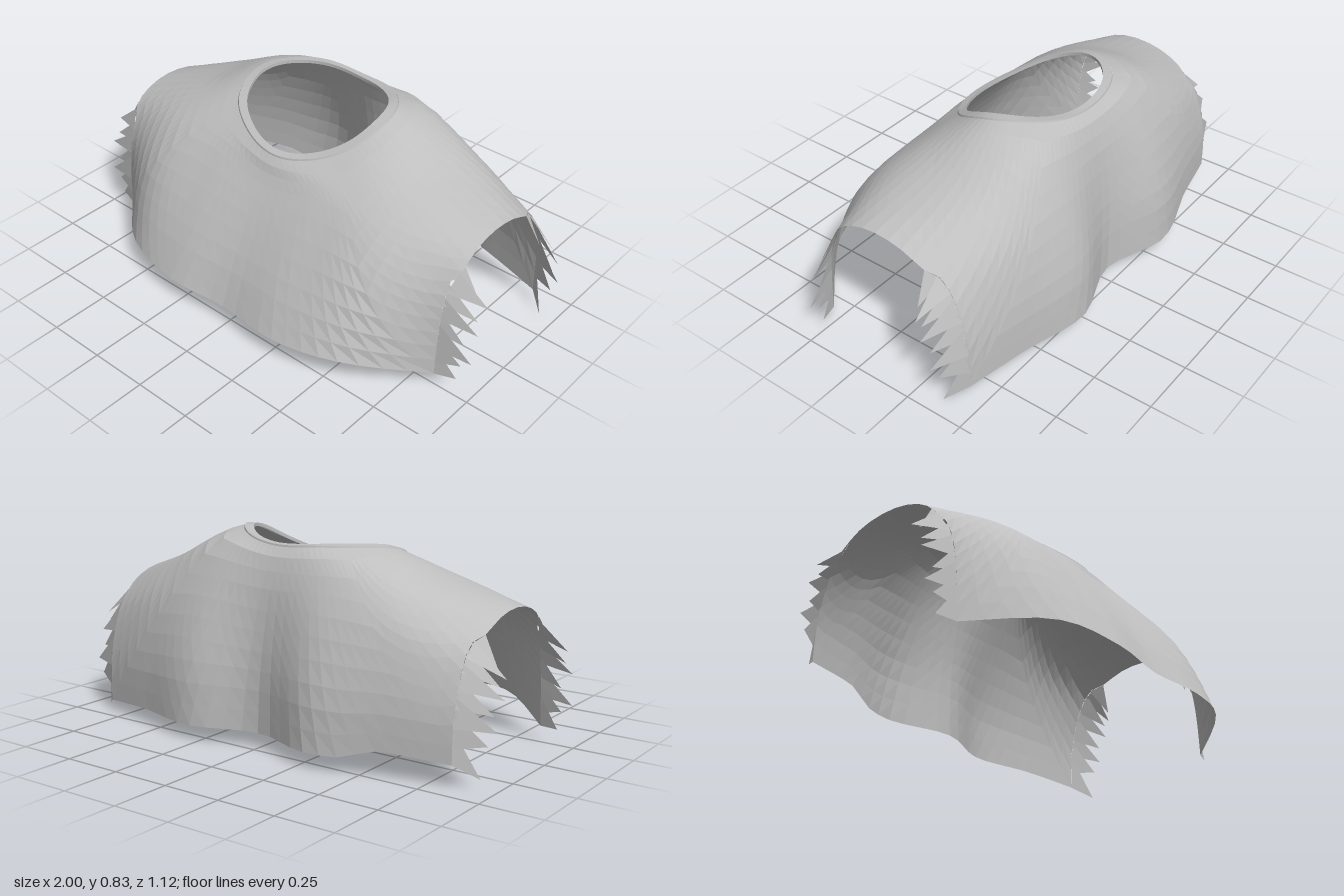
import * as THREE from 'three';

// Half of the garment: sections at x = 0, .29, .58, .87, each running from
// front hem over the shoulder to back hem as z, y pairs.
const SECTIONS = [
  [.54, .105, .46, .28, .355, .455, .265, .585, .213, .665, .07, .72, -.08, .77, -.20, .785, -.345, .792, -.41, .67, -.45, .47, -.47, .28, -.475, .07],
  [.56, .11, .475, .28, .365, .455, .255, .60, .18, .67, .065, .75, -.085, .825, -.215, .83, -.35, .782, -.43, .65, -.495, .48, -.545, .28, -.56, .07],
  [.485, .12, .43, .27, .36, .42, .28, .535, .185, .62, .07, .675, -.07, .70, -.21, .698, -.32, .66, -.41, .56, -.46, .42, -.49, .25, -.495, .07],
  [.235, .065, .235, .20, .23, .32, .215, .42, .165, .525, .085, .583, -.03, .605, -.155, .588, -.255, .54, -.34, .47, -.39, .36, -.42, .22, -.425, .05],
];
const HALF = 0.88, LAST_T = 12;
const NECK = { x: -0.035, rx: 0.355, t: 6, rt: 2 };
const { smoothstep } = THREE.MathUtils;

// Cubic interpolation through evenly spaced values given by get(index)
function cubic(get, u, last, mirrored) {
  const i = Math.min(Math.floor(u), last - 1), f = u - i;
  const at = (k) => {
    if (k < 0) return mirrored ? get(-k) : 2 * get(0) - get(1);
    return k > last ? 2 * get(last) - get(last - 1) : get(k);
  };
  const a = at(i - 1), b = at(i), c = at(i + 1), d = at(i + 2);
  return b + 0.5 * f * (c - a + f * (2 * a - 5 * b + 4 * c - d + f * (3 * (b - c) + d - a)));
}

// Point on the cloth at x and t (0 = front hem, 12 = back hem)
function cloth(x, t) {
  const u = Math.min(Math.abs(x) / HALF, 1) * 3;
  const coord = (c) => cubic((s) => cubic((k) => SECTIONS[s][k * 2 + c], t, LAST_T, false), u, 3, true);
  // The back hem rides up a little on the right, and the neck sits lower there
  const lift = 0.045 * smoothstep(-x, 0.4, 0.6) * (t / LAST_T) ** 8;
  const sag = 0.022 * Math.exp(-(((x + 0.3) / 0.13) ** 2) - ((t - 6.5) / 1.8) ** 2);
  return new THREE.Vector3(x, coord(1) + lift - sag, coord(0));
}

// Half width of the sheet: worn back a little where the armholes are torn
const halfWidth = (t) => HALF - 0.03 * smoothstep(Math.abs(t - 6), 1.8, 2.6);

// Closed grid: columns run around the neck, rows run outward
function ringGrid(columns, rows, pointAt) {
  const pos = [], index = [];
  for (let i = 0; i < columns; i++) {
    for (let j = 0; j <= rows; j++) pos.push(...pointAt(i, j).toArray());
  }
  const id = (i, j) => (i % columns) * (rows + 1) + j;
  for (let i = 0; i < columns; i++) {
    for (let j = 0; j < rows; j++) {
      index.push(id(i, j), id(i, j + 1), id(i + 1, j + 1));
      index.push(id(i, j), id(i + 1, j + 1), id(i + 1, j));
    }
  }
  const g = new THREE.BufferGeometry();
  g.setAttribute('position', new THREE.Float32BufferAttribute(pos, 3));
  g.setIndex(index);
  g.computeVertexNormals();
  return g;
}

// Point i on the border of the unit square, counterclockwise
const PER_SIDE = 24, COLUMNS = PER_SIDE * 4;
function border(i) {
  const side = Math.floor(i / PER_SIDE), s = (i % PER_SIDE) / PER_SIDE * 2 - 1;
  return [[s, -1], [1, s], [-s, 1], [-1, -s]][side];
}

function neckPoint(i, scale) {
  const [p, q] = border(i), a = Math.atan2(q, p);
  return [NECK.x + NECK.rx * scale * Math.cos(a), NECK.t + NECK.rt * scale * Math.sin(a)];
}

// Torn fringe along one armhole edge; each entry is [t start, t end, reach, drop, inward]
const TEARS = [
  [0.0, 0.9, 0.055, 0.05, 0], [0.4, 1.3, 0.07, 0.03, 0], [0.9, 1.8, 0.115, 0.06, 0],
  [1.5, 2.3, 0.07, 0.06, 0.005], [2.0, 2.9, 0.12, 0.05, 0.01], [2.6, 3.4, 0.10, 0.06, 0.02],
  [3.1, 3.9, 0.12, 0.06, 0.03], [3.6, 4.2, 0.06, 0.08, 0.02],
  [8.0, 8.6, 0.06, 0.10, 0.01], [8.4, 9.1, 0.11, 0.09, 0.02], [8.8, 9.6, 0.09, 0.08, 0.04],
  [9.3, 10.1, 0.12, 0.07, 0.05], [9.8, 10.6, 0.09, 0.07, 0.05], [10.3, 11.1, 0.115, 0.06, 0.05],
  [10.7, 11.6, 0.08, 0.05, 0.05], [11.1, 12.0, 0.05, 0.12, 0.06],
];
function fringe(side) {
  const pos = [];
  for (const [t0, t1, reach, drop, inward] of TEARS) {
    const a = cloth(side * halfWidth(t0), t0), b = cloth(side * halfWidth(t1), t1);
    const tip = cloth(side * HALF, (t0 + t1) / 2);
    tip.x += side * reach;
    tip.y -= drop;
    tip.z -= Math.sign(tip.z) * inward;
    const corners = side > 0 ? [a, tip, b] : [a, b, tip];
    for (const p of corners) pos.push(p.x, p.y, p.z);
  }
  const g = new THREE.BufferGeometry();
  g.setAttribute('position', new THREE.Float32BufferAttribute(pos, 3));
  g.computeVertexNormals();
  return g;
}

export function createModel() {
  const model = new THREE.Group();
  model.name = 'tornTop';
  const fabric = new THREE.MeshStandardMaterial({ color: 0xbfbfbf, flatShading: true, side: THREE.DoubleSide });
  fabric.name = 'grey fabric';
  const add = (name, geometry) => {
    const mesh = new THREE.Mesh(geometry, fabric);
    mesh.name = name;
    model.add(mesh);
  };

  // Front, shoulders and back as one sheet spreading from the neck hole
  const ROWS = 10;
  add('body', ringGrid(COLUMNS, ROWS, (i, j) => {
    const [p, q] = border(i), [nx, nt] = neckPoint(i, 1), f = j / ROWS;
    const edgeT = q * 6 + 6;
    return cloth(nx + (p * halfWidth(edgeT) - nx) * f, nt + (edgeT - nt) * f);
  }));

  // Narrow band around the neck with a turned-in lip
  const band = [[0.88, -0.012], [0.88, 0.002], [0.99, 0.006], [1.0, -0.002]];
  add('neckband', ringGrid(COLUMNS, band.length - 1, (i, j) => {
    const point = cloth(...neckPoint(i, band[j][0]));
    point.y += band[j][1];
    return point;
  }));

  // Ragged armhole edges
  add('leftFringe', fringe(1));
  add('rightFringe', fringe(-1));
  return model;
}
